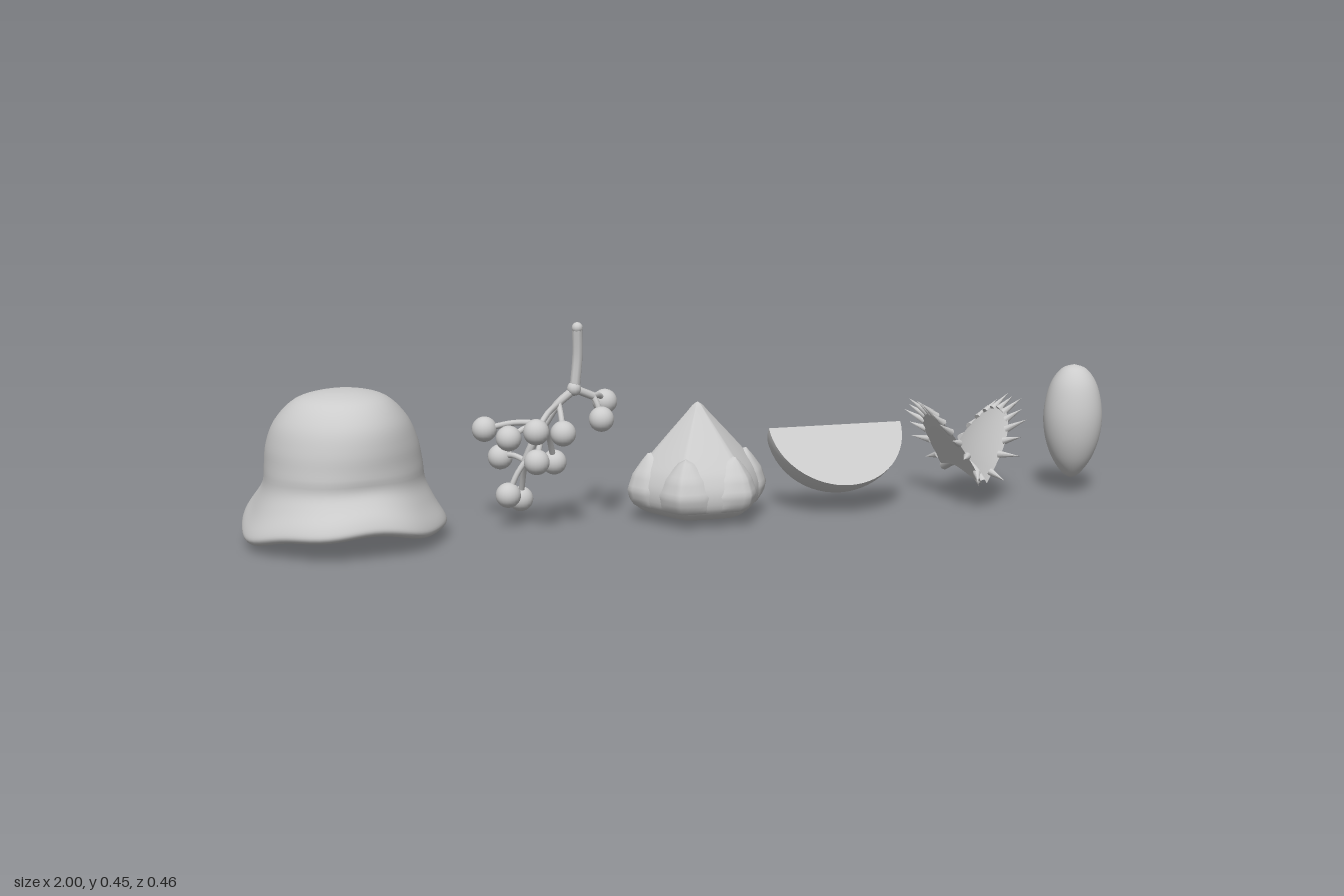
import * as THREE from 'three';
import { mergeVertices } from 'three/addons/utils/BufferGeometryUtils.js';

const V = (x, y, z) => new THREE.Vector3(x, y, z);
const grey = new THREE.MeshStandardMaterial({ color: 0xcccccc });
const thin = new THREE.MeshStandardMaterial({ color: 0xcccccc, side: THREE.DoubleSide });

function add(parent, name, geometry, material = grey) {
  const mesh = new THREE.Mesh(geometry, material);
  mesh.name = name;
  parent.add(mesh);
  return mesh;
}

function section(parent, name, x, y, z) {
  const g = new THREE.Group();
  g.name = name;
  g.position.set(x, y, z);
  parent.add(g);
  return g;
}

// Weld the seams and smooth the normals
function smooth(geometry) {
  geometry.deleteAttribute('uv');
  geometry.deleteAttribute('normal');
  const g = mergeVertices(geometry, 1e-5);
  g.computeVertexNormals();
  return g;
}

// Lathe with a smoothed profile, its vertices moved by a rule
function lathe(profile, segments, rule, samples = 40) {
  const curve = new THREE.SplineCurve(profile.map(([r, y]) => new THREE.Vector2(r, y)));
  const pts = curve.getPoints(samples).map(p => new THREE.Vector2(Math.max(0, p.x), p.y));
  pts[0].x = pts[samples].x = 0;
  const g = new THREE.LatheGeometry(pts, segments);
  const p = g.attributes.position, v = V();
  for (let i = 0; rule && i < p.count; i++) {
    v.fromBufferAttribute(p, i);
    rule(v);
    p.setXYZ(i, v.x, v.y, v.z);
  }
  return smooth(g);
}

// Surface from a function of (u, v), both 0 to 1
function surface(fn, nu, nv) {
  const pos = [], idx = [];
  for (let i = 0; i <= nu; i++) {
    for (let j = 0; j <= nv; j++) {
      pos.push(...fn(i / nu, j / nv).toArray());
      if (i === nu || j === nv) continue;
      const a = i * (nv + 1) + j, b = a + nv + 1;
      idx.push(a, b, a + 1, b, b + 1, a + 1);
    }
  }
  const g = new THREE.BufferGeometry();
  g.setAttribute('position', new THREE.Float32BufferAttribute(pos, 3));
  g.setIndex(idx);
  g.computeVertexNormals();
  return g;
}

const tube = (points, r, n = 16) =>
  new THREE.TubeGeometry(new THREE.CatmullRomCurve3(points), n, r, 8);

// Bell-shaped cap with a wavy, drooping brim
function cap(root) {
  const g = section(root, 'cap', -0.785, 0, 0);
  const profile = [[0, 0.05], [0.09, 0.045], [0.16, 0.042], [0.2, 0.034], [0.217, 0.045], [0.212, 0.065],
    [0.19, 0.1], [0.172, 0.135], [0.167, 0.175], [0.16, 0.22], [0.14, 0.27], [0.1, 0.313], [0.05, 0.33], [0, 0.334]];
  add(g, 'capShell', lathe(profile, 72, v => {
    const r = Math.hypot(v.x, v.z), a = Math.atan2(v.z, v.x);
    const brim = THREE.MathUtils.smoothstep(r, 0.12, 0.21) * THREE.MathUtils.smoothstep(0.2 - v.y, 0, 0.13);
    const up = THREE.MathUtils.smoothstep(v.y, 0.07, 0.34);
    const lump = 1 + 0.02 * Math.sin(3 * a + 14 * v.y) * (1 - brim) + 0.012 * Math.sin(7 * a + 1) * brim;
    v.x *= lump;
    v.z = v.z * lump * (1 + 0.06 * brim) + 0.012 * Math.min(1, up * 4) + 0.02 * up * up;
    v.y += brim * (0.012 - 0.02 * Math.sin(a) - 0.024 * Math.cos(2 * a) + 0.004 * Math.sin(6 * a));
    if (r < 0.17 && v.y < 0.07) v.y += 0.004 * Math.sin(5 * a + 40 * r) * Math.min(1, r * 10);
  }, 60));
}

// Branching stalk with round berries
function berries(root) {
  const g = section(root, 'berrySprig', 0, 0, 0);
  add(g, 'stalk', tube([V(-0.273, 0.445, 0.032), V(-0.272, 0.38, 0.026), V(-0.278, 0.315, 0.025)], 0.0115));
  const knob = add(g, 'stalkTip', new THREE.SphereGeometry(0.0125, 12, 8));
  knob.position.set(-0.273, 0.445, 0.032);
  const fork = V(-0.28, 0.31, 0.025), mid = V(-0.345, 0.235, 0.02), low = V(-0.385, 0.15, 0), right = V(-0.235, 0.29, 0.015);
  add(g, 'mainBranch', tube([V(-0.277, 0.325, 0.025), fork, V(-0.315, 0.28, 0.025), mid, V(-0.37, 0.19, 0.01), low], 0.0095));
  add(g, 'sideBranch', tube([fork, right], 0.009));
  add(g, 'fork', new THREE.SphereGeometry(0.016, 12, 8)).position.copy(fork);
  const upper = V(-0.315, 0.28, 0.025);
  const list = [
    [right, -0.195, 0.267, -0.04], [right, -0.22, 0.24, 0.03],
    [upper, -0.39, 0.24, 0.14], [upper, -0.32, 0.224, 0.09],
    [mid, -0.47, 0.22, -0.03], [mid, -0.43, 0.21, 0.04], [mid, -0.31, 0.133, -0.05], [mid, -0.375, 0.16, 0.07],
    [low, -0.43, 0.15, -0.06], [low, -0.425, 0.075, 0], [low, -0.386, 0.053, -0.055],
  ];
  for (const [from, x, y, z] of list) {
    const end = V(x, y, z);
    const bend = from.clone().lerp(end, 0.5).add(V(0, 0.008, 0));
    add(g, 'twig', tube([from, bend, end], 0.0065, 8));
    add(g, 'berry', new THREE.SphereGeometry(0.028, 20, 14)).position.copy(end);
  }
}

// Six-sided bud wrapped in pointed sepals
function bud(root) {
  const g = section(root, 'bud', 0.005, 0, 0.015);
  const profile = [[0, 0.003], [0.06, 0.008], [0.11, 0.018], [0.146, 0.04], [0.154, 0.075], [0.142, 0.11],
    [0.12, 0.14], [0.075, 0.19], [0.03, 0.238], [0.012, 0.258], [0, 0.266]];
  const step = Math.PI / 3;
  const hex = a => {
    const m = ((a % step) + step) % step - step / 2;
    return THREE.MathUtils.lerp(1, Math.cos(step / 2) / Math.cos(m), 0.8);
  };
  add(g, 'budBody', lathe(profile, 72, v => {
    const k = hex(Math.atan2(v.z, v.x));
    v.x *= k;
    v.z *= k;
  }));
  const radiusAt = y => {
    let i = 1;
    while (i < profile.length - 1 && profile[i][1] < y) i++;
    const [r0, y0] = profile[i - 1], [r1, y1] = profile[i];
    return r0 + (r1 - r0) * (y - y0) / (y1 - y0);
  };
  for (let k = 0; k < 6; k++) {
    add(g, 'sepal', surface((u, v) => {
      const y = 0.03 + 0.125 * v, side = 2 * u - 1;
      const a = k * step + side * 0.46 * Math.sqrt(Math.max(0, 1 - v ** 1.8));
      const r = (radiusAt(y) + 0.009 * (1 - side ** 4) * Math.min(1, v * 5)) * hex(a);
      return V(r * Math.cos(a), y, r * Math.sin(a));
    }, 10, 14), thin);
  }
}

// Fruit wedge: spherical rind and two flat cut faces
function wedge(root) {
  const g = section(root, 'fruitWedge', 0.335, 0.195, 0.012), r = 0.16, half = 0.68;
  const rind = new THREE.SphereGeometry(r, 20, 32, Math.PI - half, 2 * half);
  add(g, 'rind', rind.rotateZ(-Math.PI / 2));
  const face = () => new THREE.CircleGeometry(r, 32, Math.PI, Math.PI);
  add(g, 'frontCutFace', face().rotateX(-half));
  add(g, 'backCutFace', face().rotateY(Math.PI).rotateX(half));
  g.scale.y = 0.97;
}

// Hinged leaf trap: two flared lobes fringed with spines
function trap(root) {
  const g = section(root, 'leafTrap', 0.657, 0, 0.012);
  const point = (side, r, t) => {
    const d = r * Math.sin(t) ** 0.6, c = r * Math.cos(t);
    return V(side * (0.006 + 0.06 * d + 0.025 * d * d), 0.092 - 0.03 * c * c + 0.125 * d, 0.118 * c);
  };
  for (const side of [-1, 1]) {
    const lobe = section(g, side < 0 ? 'rightLobe' : 'leftLobe', 0, 0, 0);
    const skin = offset => surface((u, v) => {
      const p = point(side, v, u * Math.PI), edge = offset * (1 - v ** 3);
      return p.add(V(side * edge, -0.6 * edge, 0));
    }, 40, 12);
    add(lobe, 'innerSkin', skin(0), thin);
    add(lobe, 'outerSkin', skin(0.016), thin);
    const count = 13;
    for (let i = 0; i < count; i++) {
      const t = 0.06 + (Math.PI - 0.12) * i / (count - 1);
      const base = point(side, 0.95, t);
      const dir = point(side, 1.08, t).sub(base).normalize();
      dir.x += side * 0.25;
      dir.normalize();
      const len = 0.046 + 0.01 * (i % 2);
      const spine = add(lobe, 'spine', new THREE.ConeGeometry(0.009, len, 8));
      spine.quaternion.setFromUnitVectors(V(0, 1, 0), dir);
      spine.position.copy(base).addScaledVector(dir, len / 2);
    }
  }
  add(g, 'hinge', tube([-1, -0.5, 0, 0.5, 1].map(c => V(0, 0.09 - 0.03 * c * c, 0.112 * c)), 0.012));
}

// Smooth oval seed with a slightly pointed base
function seed(root) {
  const g = section(root, 'seed', 0.931, 0, 0.02);
  add(g, 'seedBody', lathe([[0, 0.037], [0.02, 0.049], [0.045, 0.084], [0.062, 0.13], [0.0685, 0.18],
    [0.064, 0.228], [0.051, 0.27], [0.028, 0.3], [0, 0.31]], 40));
}

export function createModel() {
  const root = new THREE.Group();
  root.name = 'plantParts';
  for (const build of [cap, berries, bud, wedge, trap, seed]) build(root);
  return root;
}
